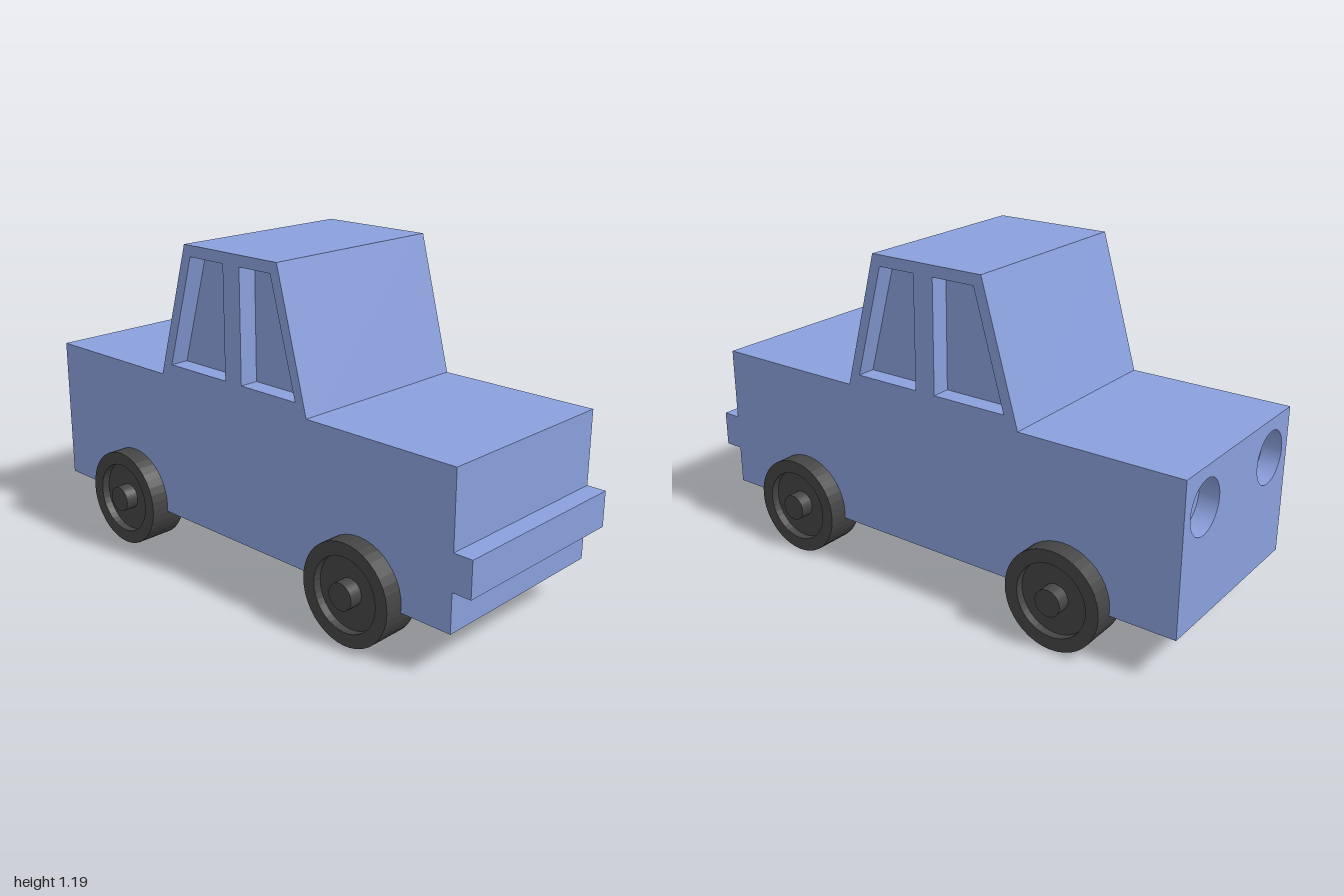
import * as THREE from 'three';

const paint = new THREE.MeshStandardMaterial({ color: 0x8aa0dd });
const rubber = new THREE.MeshStandardMaterial({ color: 0x444444, flatShading: true });

const HALF = 0.365;   // half width of the body
const RECESS = 0.07;  // depth of windows and lamp sockets
const BACK = -1;

// Side profile as [z, y], with the bumper at the front
const PROFILE = [
  [BACK + RECESS, 0.16], [0.93, 0.16], [0.93, 0.3], [1, 0.3], [1, 0.43], [0.93, 0.43], [0.93, 0.7],
  [0.325, 0.7], [0.195, 1.19], [-0.255, 1.19], [-0.4, 0.7], [BACK + RECESS, 0.7],
];
const WINDOWS = [
  [[0.275, 0.745], [0.02, 0.745], [0.02, 1.15], [0.165, 1.15]],
  [[-0.06, 0.745], [-0.345, 0.745], [-0.225, 1.15], [-0.06, 1.15]],
];

const points = (list) => list.map(([a, b]) => new THREE.Vector2(a, b));

// Extrudes the side profile across x, from x0 to x1
function sideSlab(name, x0, x1, holes) {
  const shape = new THREE.Shape(points(PROFILE));
  for (const hole of holes) shape.holes.push(new THREE.Path(points(hole)));
  const geometry = new THREE.ExtrudeGeometry(shape, { depth: x1 - x0, bevelEnabled: false });
  geometry.rotateY(-Math.PI / 2).translate(x1, 0, 0);
  const mesh = new THREE.Mesh(geometry, paint);
  mesh.name = name;
  return mesh;
}

// Rear panel with two round lamp sockets
function rearPanel() {
  const shape = new THREE.Shape(points([[-HALF, 0.16], [HALF, 0.16], [HALF, 0.7], [-HALF, 0.7]]));
  for (const side of [-1, 1]) {
    shape.holes.push(new THREE.Path().absarc(side * 0.23, 0.56, 0.095, 0, Math.PI * 2, true));
  }
  const geometry = new THREE.ExtrudeGeometry(shape, { depth: RECESS, bevelEnabled: false, curveSegments: 32 });
  geometry.translate(0, 0, BACK);
  const mesh = new THREE.Mesh(geometry, paint);
  mesh.name = 'rearPanel';
  return mesh;
}

// Wheel with a sunken rim and a protruding hub, turned around the axle
function wheel(name, side, z) {
  const profile = points([
    [0, 0.29], [0.18, 0.29], [0.18, 0.433], [0.132, 0.433],
    [0.132, 0.403], [0.048, 0.403], [0.048, 0.452], [0, 0.452],
  ]);
  const geometry = new THREE.LatheGeometry(profile, 40);
  geometry.rotateZ(-side * Math.PI / 2);
  const mesh = new THREE.Mesh(geometry, rubber);
  mesh.name = name;
  mesh.position.set(0, 0.183, z);
  return mesh;
}

export function createModel() {
  const model = new THREE.Group();
  model.name = 'pickupTruck';

  // Solid core between two window panels
  const inner = HALF - RECESS;
  model.add(sideSlab('bodyCore', -inner, inner, []));
  model.add(sideSlab('leftSidePanel', inner, HALF, WINDOWS));
  model.add(sideSlab('rightSidePanel', -HALF, -inner, WINDOWS));
  model.add(rearPanel());

  for (const [sideName, side] of [['Left', 1], ['Right', -1]]) {
    model.add(wheel('front' + sideName + 'Wheel', side, 0.557));
    model.add(wheel('rear' + sideName + 'Wheel', side, -0.583));
  }
  return model;
}
